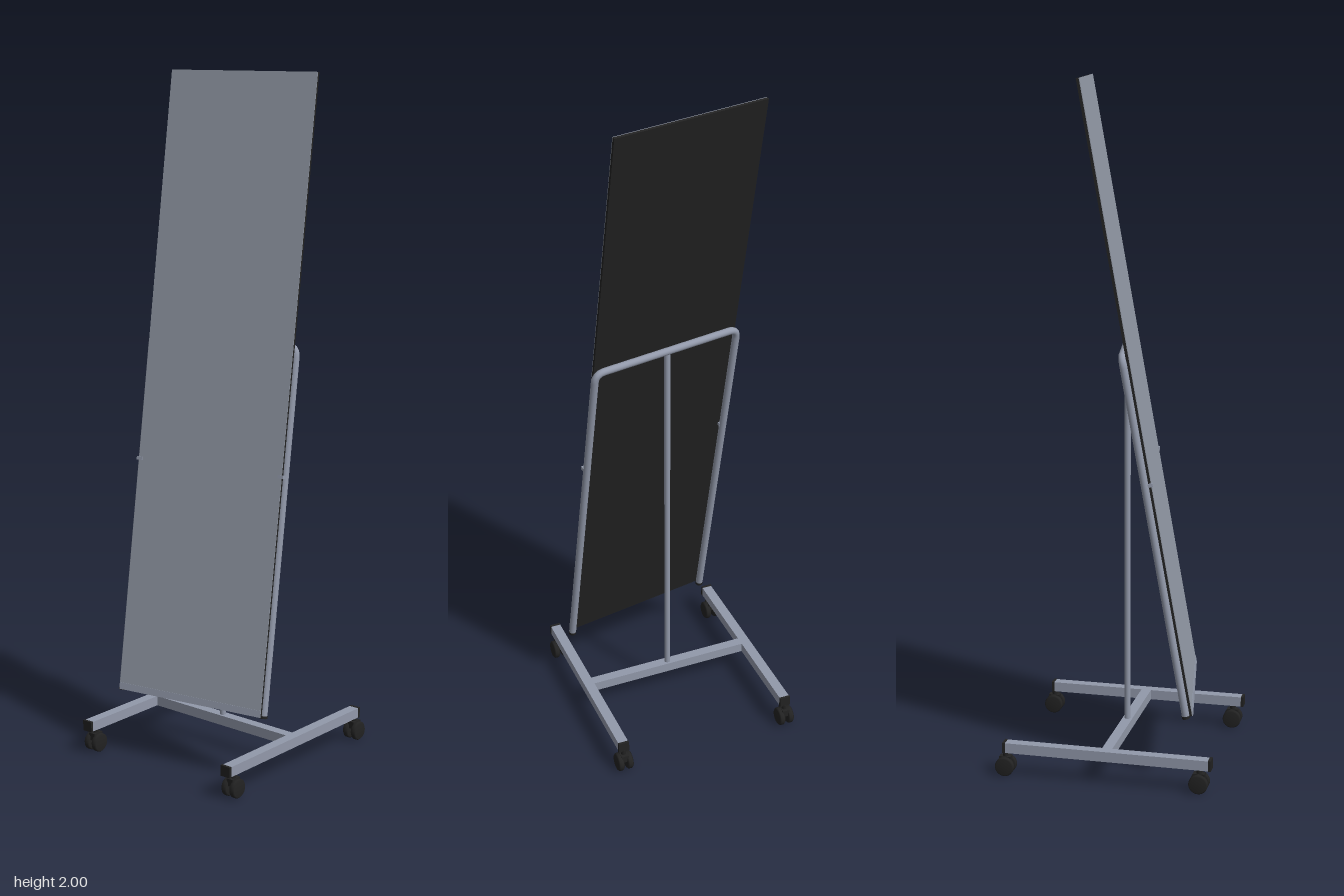
import * as THREE from 'three';

export function createModel() {
  const model = new THREE.Group();
  const metal = new THREE.MeshStandardMaterial({ name: 'brushed metal', color: 0x9299aa });
  const mirror = new THREE.MeshStandardMaterial({ name: 'mirror grey', color: 0x9299a6 });
  const black = new THREE.MeshStandardMaterial({ name: 'black', color: 0x222222 });

  const add = (parent, name, geometry, material, x, y, z) => {
    const mesh = new THREE.Mesh(geometry, material);
    mesh.name = name;
    mesh.position.set(x, y, z);
    parent.add(mesh);
    return mesh;
  };
  const box = (parent, name, material, w, h, d, x, y, z) =>
    add(parent, name, new THREE.BoxGeometry(w, h, d), material, x, y, z);

  // H-shaped base and upright post
  box(model, 'crossBar', metal, 0.505, 0.03, 0.03, 0, 0.085, 0.01);
  add(model, 'post', new THREE.CylinderGeometry(0.009, 0.009, 1.135, 20), metal, 0, 0.6675, 0.01);

  // Twin-wheel caster: two rounded discs, axle, hood and stem
  const wheelProfile = [[0, -0.009], [0.024, -0.009], [0.028, -0.005], [0.028, 0.005], [0.024, 0.009], [0, 0.009]]
    .map(([r, y]) => new THREE.Vector2(r, y));
  const wheelGeometry = new THREE.LatheGeometry(wheelProfile, 24).rotateZ(Math.PI / 2);
  const axleGeometry = new THREE.CylinderGeometry(0.008, 0.008, 0.03, 12).rotateZ(Math.PI / 2);
  const makeCaster = (x, z) => {
    const caster = new THREE.Group();
    caster.name = 'caster';
    caster.position.set(x, 0, z);
    for (const s of [-1, 1]) add(caster, 'wheel', wheelGeometry, black, s * 0.0145, 0.028, 0);
    add(caster, 'axle', axleGeometry, black, 0, 0.028, 0);
    box(caster, 'hood', black, 0.022, 0.022, 0.034, 0, 0.046, 0);
    add(caster, 'stem', new THREE.CylinderGeometry(0.008, 0.008, 0.018, 12), black, 0, 0.063, 0);
    model.add(caster);
  };

  // Side rails with end caps and casters
  for (const s of [-1, 1]) {
    const x = s * 0.268;
    box(model, 'sideRail', metal, 0.031, 0.03, 0.602, x, 0.085, 0.011);
    box(model, 'railEndCap', black, 0.033, 0.032, 0.008, x, 0.085, 0.315);
    box(model, 'railEndCap', black, 0.033, 0.032, 0.008, x, 0.085, -0.293);
    makeCaster(x, 0.283);
    makeCaster(x, -0.291);
  }

  // Leaning, turned mirror; local origin is the bottom of its front face
  const tilted = new THREE.Group();
  tilted.name = 'tiltedMirror';
  tilted.rotation.set(-Math.PI / 18, Math.PI / 18, 0, 'YXZ');
  tilted.position.set(0.035, 0.2, 0.208);
  model.add(tilted);
  const width = 0.477, height = 1.828;
  box(tilted, 'backBoard', black, width, height, 0.008, 0, height / 2, -0.006);
  box(tilted, 'mirrorFace', mirror, width, height, 0.002, 0, height / 2, -0.001);
  box(tilted, 'bottomLip', metal, width, 0.02, 0.0015, 0, 0.01, 0.0005);

  // Support frame: upside-down U of round tube
  const hx = 0.239, top = 1.06, r = 0.03, tubeZ = -0.02;
  const V = (x, y) => new THREE.Vector3(x, y, tubeZ);
  const path = new THREE.CurvePath();
  path.add(new THREE.LineCurve3(V(-hx, 0), V(-hx, top - r)));
  path.add(new THREE.QuadraticBezierCurve3(V(-hx, top - r), V(-hx, top), V(-hx + r, top)));
  path.add(new THREE.LineCurve3(V(-hx + r, top), V(hx - r, top)));
  path.add(new THREE.QuadraticBezierCurve3(V(hx - r, top), V(hx, top), V(hx, top - r)));
  path.add(new THREE.LineCurve3(V(hx, top - r), V(hx, 0)));
  add(tilted, 'supportFrame', new THREE.TubeGeometry(path, 300, 0.011, 14, false), metal, 0, 0, 0);

  // Tube plugs and side clips that hold the mirror
  for (const s of [-1, 1]) {
    add(tilted, 'tubePlug', new THREE.CylinderGeometry(0.0115, 0.0115, 0.008, 14), black, s * hx, 0, tubeZ);
    box(tilted, 'clip', metal, 0.018, 0.01, 0.024, s * 0.236, 0.69, -0.009);
  }
  return model;
}
